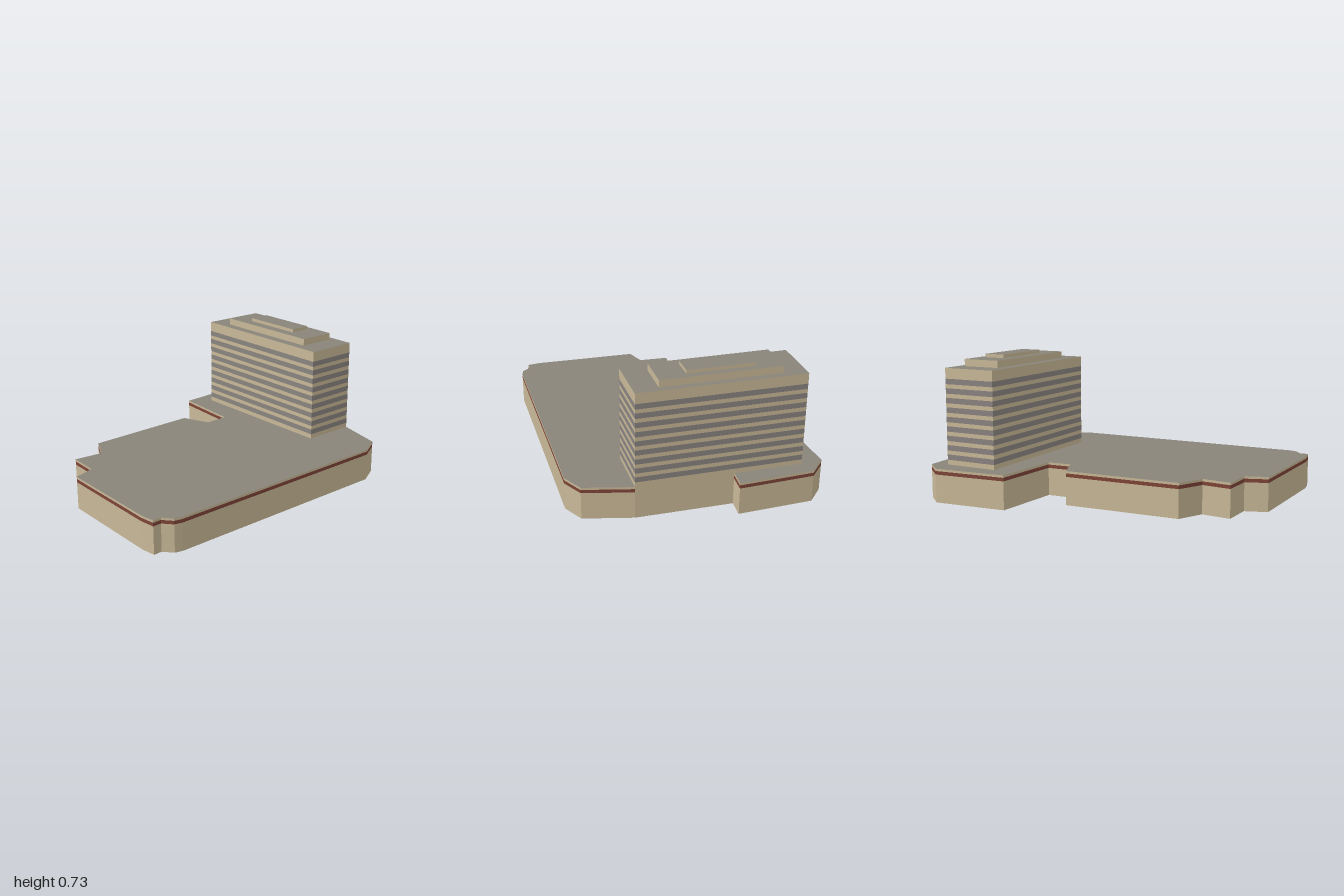
import * as THREE from 'three';

const mat = (name, color) => {
  const m = new THREE.MeshStandardMaterial({ color });
  m.name = name;
  return m;
};

export function createModel() {
  const tan = mat('tan concrete', 0xc8b897);
  const grey = mat('grey roof', 0x89847a);
  const glass = mat('grey glass', 0x898480);
  const red = mat('dark red trim', 0x7e4437);

  const add = (parent, name, geometry, material) => {
    const mesh = new THREE.Mesh(geometry, material);
    mesh.name = name;
    parent.add(mesh);
  };

  // Upright wall strip round an outline; only the edges accepted by keep are built
  const walls = (outline, y0, y1, keep = () => true) => {
    const pos = [];
    outline.forEach(([ax, az], i) => {
      if (!keep(i)) return;
      const [bx, bz] = outline[(i + 1) % outline.length];
      pos.push(bx, y0, bz, ax, y0, az, ax, y1, az);
      pos.push(bx, y0, bz, ax, y1, az, bx, y1, bz);
    });
    const g = new THREE.BufferGeometry();
    g.setAttribute('position', new THREE.Float32BufferAttribute(pos, 3));
    g.computeVertexNormals();
    return g;
  };

  // Flat cap on an outline, facing up or down
  const cap = (outline, y, up = true) => {
    const s = up ? -1 : 1;
    const shape = new THREE.Shape(outline.map(([x, z]) => new THREE.Vector2(x, s * z)));
    return new THREE.ShapeGeometry(shape).rotateX(s * Math.PI / 2).translate(0, y, 0);
  };

  const group = (name) => {
    const g = new THREE.Group();
    g.name = name;
    return g;
  };

  // Outlines as [x, z], running clockwise seen from above
  const podiumOutline = [
    [-0.36, -0.96], [-0.245, -1], [0.112, -0.827], [0.06, -0.743], [0.505, -0.5],
    [0.70, -0.325], [0.70, -0.20], [0.106, 0.915], [0.078, 0.947], [0.017, 0.96],
    [-0.003, 1], [-0.075, 0.973], [-0.578, 0.69], [-0.557, 0.575], [-0.70, 0.49],
    [-0.615, 0.365], [-0.70, 0.245], [-0.425, -0.30], [-0.265, -0.282],
    [-0.207, -0.40], [-0.525, -0.60],
  ];
  const towerOutline = [[-0.255, -0.915], [0.505, -0.5], [0.37, -0.247], [-0.398, -0.66]];
  const tiers = [
    { name: 'lower roof tier', y0: 0.675, y1: 0.712,
      outline: [[-0.17, -0.828], [0.38, -0.53], [0.282, -0.353], [-0.27, -0.648]] },
    { name: 'upper roof tier', y0: 0.712, y1: 0.73,
      outline: [[-0.07, -0.733], [0.235, -0.568], [0.182, -0.468], [-0.125, -0.634]] },
  ];

  const model = group('hotel building');

  // Podium: the trim stops where the tower wall runs down to the ground
  const podium = group('podium');
  const flushEdge = 3, podiumTop = 0.175, trimLow = 0.145, trimHigh = 0.163;
  add(podium, 'podium wall', walls(podiumOutline, 0, trimLow), tan);
  add(podium, 'podium trim', walls(podiumOutline, trimLow, trimHigh, (i) => i !== flushEdge), red);
  add(podium, 'flush tower wall', walls(podiumOutline, trimLow, trimHigh, (i) => i === flushEdge), tan);
  add(podium, 'podium parapet', walls(podiumOutline, trimHigh, podiumTop), tan);
  add(podium, 'podium roof', cap(podiumOutline, podiumTop), grey);
  add(podium, 'podium base', cap(podiumOutline, 0, false), tan);
  model.add(podium);

  // Tower: alternating wall and window bands
  const tower = group('tower');
  const floors = 9, pitch = 0.049, bandHeight = 0.028, towerTop = 0.675;
  let y = podiumTop;
  for (let i = 0; i < floors; i++) {
    const low = 0.2 + i * pitch;
    add(tower, 'tower wall band', walls(towerOutline, y, low), tan);
    add(tower, 'window band', walls(towerOutline, low, low + bandHeight), glass);
    y = low + bandHeight;
  }
  add(tower, 'tower top wall', walls(towerOutline, y, towerTop), tan);
  add(tower, 'tower roof', cap(towerOutline, towerTop), grey);
  model.add(tower);

  // Stepped plant rooms on the tower roof
  for (const t of tiers) {
    const tier = group(t.name);
    add(tier, t.name + ' wall', walls(t.outline, t.y0, t.y1), tan);
    add(tier, t.name + ' top', cap(t.outline, t.y1), grey);
    model.add(tier);
  }
  return model;
}
